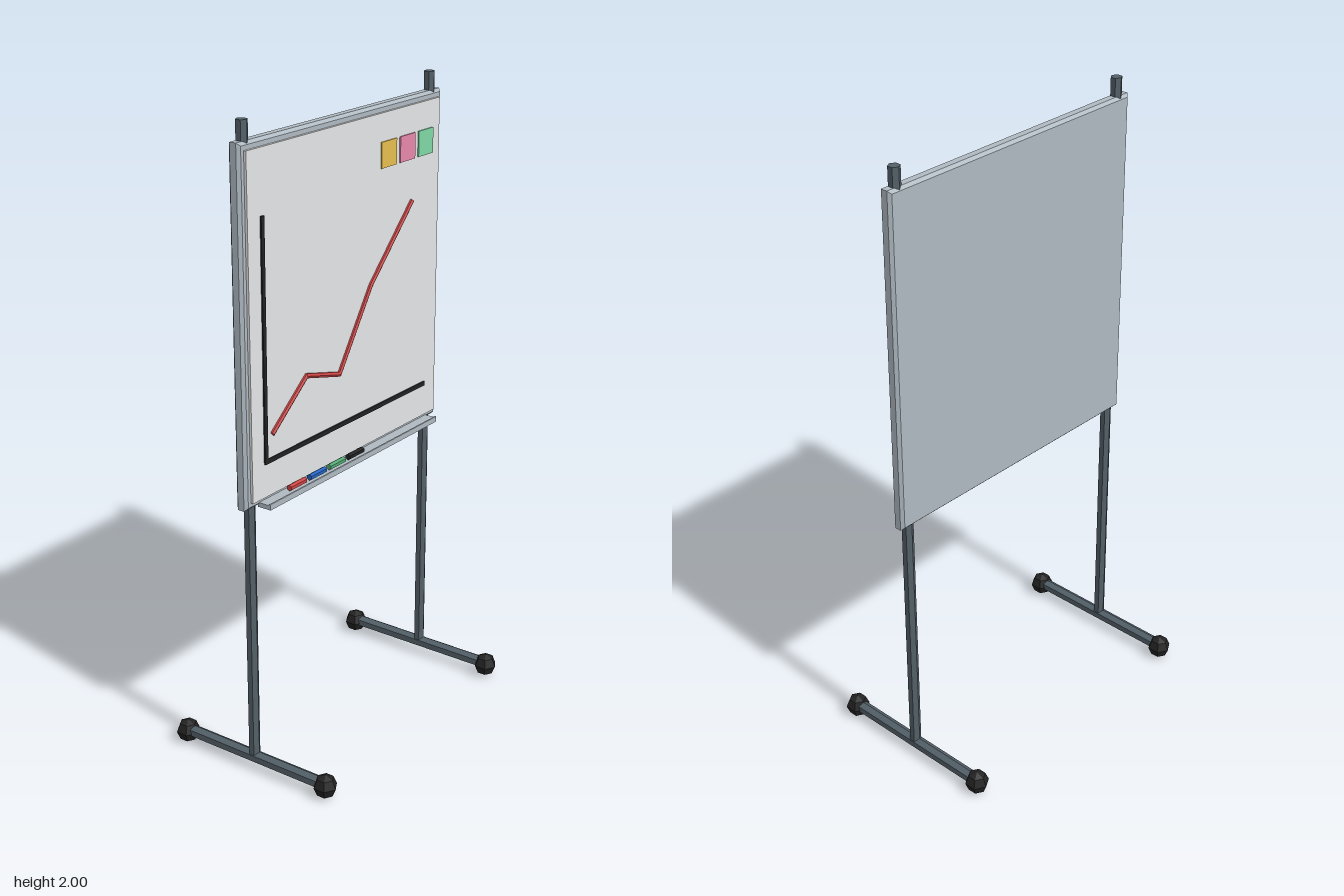
import * as THREE from 'three';

const mat = (name, color) => {
  const m = new THREE.MeshStandardMaterial({ color });
  m.name = name;
  return m;
};

export function createModel() {
  const frameGrey = mat('frame grey', 0xb0bac2);
  const steel = mat('steel', 0x546169);
  const black = mat('black', 0x222222);
  const white = mat('board white', 0xf2f3f4);
  const red = mat('red', 0xcc4444);
  const blue = mat('blue', 0x2563be);
  const green = mat('green', 0x52a874);
  const yellow = mat('note yellow', 0xf5cb55);
  const pink = mat('note pink', 0xf48fb5);
  const mint = mat('note green', 0x7fd8a4);

  const model = new THREE.Group();
  model.name = 'whiteboardStand';

  const add = (name, geometry, material, x, y, z) => {
    const flat = geometry.index ? geometry.toNonIndexed() : geometry;
    flat.computeVertexNormals();
    const mesh = new THREE.Mesh(flat, material);
    mesh.name = name;
    mesh.position.set(x, y, z);
    model.add(mesh);
    return mesh;
  };
  const box = (name, material, w, h, d, x, y, z) =>
    add(name, new THREE.BoxGeometry(w, h, d), material, x, y, z);
  const hexRod = (r, length) => new THREE.CylinderGeometry(r, r, length, 6);

  // Stand: two poles, each on a foot rail with rounded ends
  for (const [side, s] of [['left', 1], ['right', -1]]) {
    const x = s * 0.452;
    add(side + 'Pole', hexRod(0.018, 1.96), steel, x, 1.02, 0);
    add(side + 'FootRail', hexRod(0.02, 0.54).rotateX(Math.PI / 2), steel, x, 0.042, 0);
    for (const [end, e] of [['Front', 1], ['Back', -1]]) {
      const cap = new THREE.SphereGeometry(0.038, 6, 4).rotateY(Math.PI / 2);
      add(side + end + 'FootCap', cap, black, x, 0.038, e * 0.268);
    }
  }

  // Board backing with chamfered front and back edges
  const w = 0.482, h = 0.524, bevel = 0.009;
  const outline = new THREE.Shape([
    new THREE.Vector2(-w, -h), new THREE.Vector2(w, -h),
    new THREE.Vector2(w, h), new THREE.Vector2(-w, h),
  ]);
  const backing = new THREE.ExtrudeGeometry(outline, {
    depth: 0.022, bevelEnabled: true, bevelSize: bevel, bevelThickness: bevel, bevelSegments: 1,
  }).translate(0, 0, -0.011);
  add('boardFrame', backing, frameGrey, 0, 1.41, 0);

  // Writing surface
  box('writingSurface', white, 0.94, 1.022, 0.012, 0, 1.409, 0.022);

  // Chart axes
  box('chartVerticalAxis', black, 0.014, 0.727, 0.005, -0.409, 1.368, 0.03);
  box('chartHorizontalAxis', black, 0.822, 0.014, 0.005, -0.003, 1.008, 0.03);

  // Chart line, one rod per segment
  const points = [[-0.378, 1.087], [-0.217, 1.215], [-0.055, 1.173], [0.105, 1.41], [0.32, 1.625]]
    .map(([x, y]) => new THREE.Vector3(x, y, 0.03));
  for (let i = 0; i < points.length - 1; i++) {
    const dir = points[i + 1].clone().sub(points[i]);
    const mid = points[i].clone().addScaledVector(dir, 0.5);
    const rod = add('chartLine', hexRod(0.008, dir.length() + 0.005), red, mid.x, mid.y, mid.z);
    rod.quaternion.setFromUnitVectors(new THREE.Vector3(0, 1, 0), dir.normalize());
  }

  // Sticky notes
  [yellow, pink, mint].forEach((m, i) =>
    box('stickyNote', m, 0.079, 0.079, 0.004, 0.196 + i * 0.098, 1.795, 0.03));

  // Pen tray with a low front lip
  box('penTray', frameGrey, 0.868, 0.014, 0.046, 0, 0.881, 0.039);
  box('penTrayLip', frameGrey, 0.868, 0.018, 0.005, 0, 0.883, 0.0605);

  // Markers lying on the tray
  [red, blue, green, black].forEach((m, i) => {
    const marker = hexRod(0.01, 0.075).rotateY(Math.PI / 2).rotateZ(Math.PI / 2);
    add('marker', marker, m, -0.288 + i * 0.0972, 0.902, 0.047);
  });

  return model;
}
